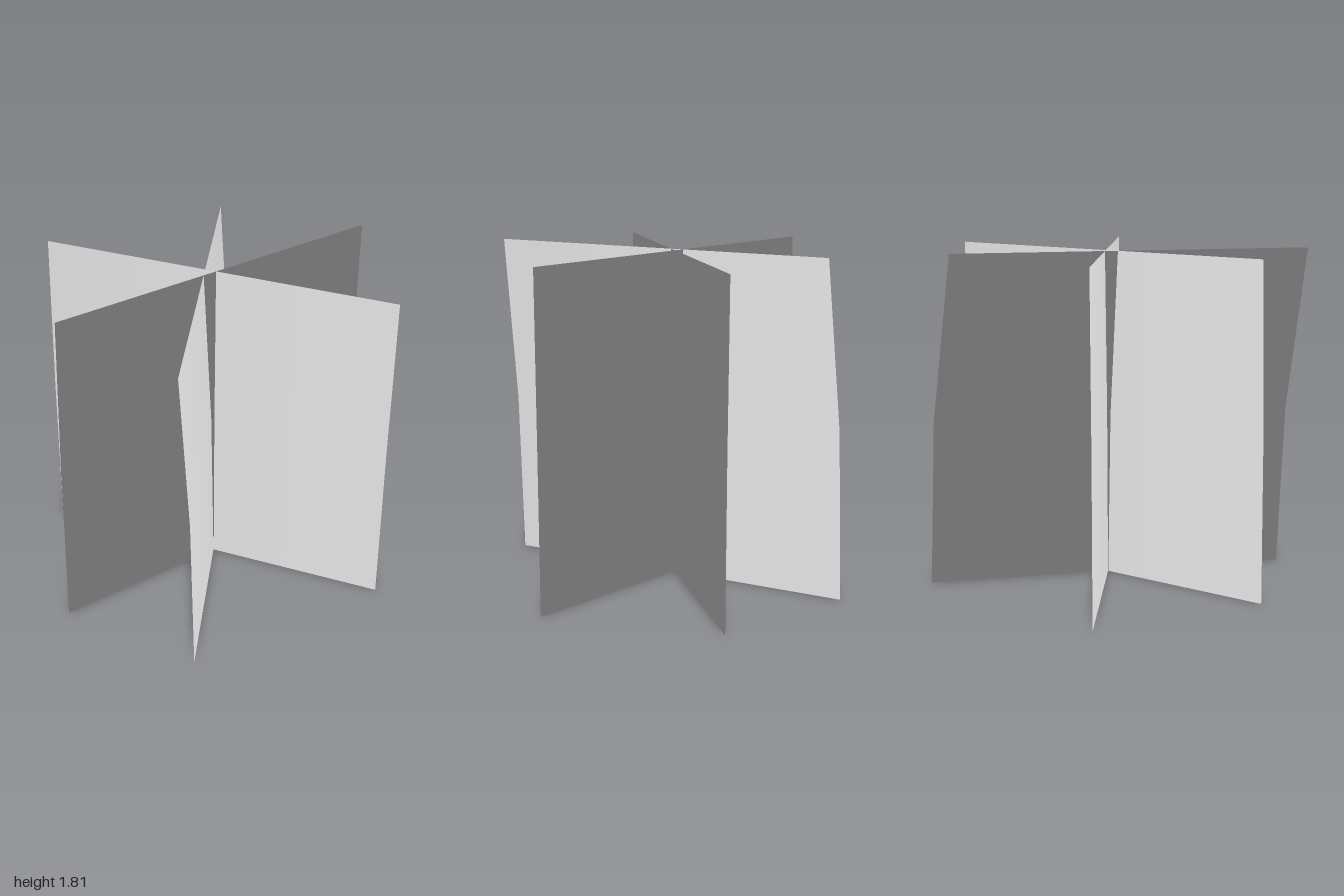
import * as THREE from 'three';

const HEIGHT = 1.81;

// One upright card: straight from end a to end b at the base,
// drifting by "shift" towards the top (a quarter of it by half height).
function makeCard(name, a, b, shift, material) {
  const geometry = new THREE.PlaneGeometry(1, 1, 2, 2);
  const pos = geometry.attributes.position;
  const normal = geometry.attributes.normal;
  const n = new THREE.Vector3();
  for (let i = 0; i < pos.count; i++) {
    const t = pos.getX(i) + 0.5;
    const h = pos.getY(i) + 0.5;
    const bend = h * h;
    pos.setXYZ(
      i,
      a[0] + (b[0] - a[0]) * t + shift[0] * bend,
      h * HEIGHT,
      a[1] + (b[1] - a[1]) * t + shift[1] * bend
    );
    // soft foliage-style normals: upward, spreading slightly outward
    const spread = 0.15 * (t - 0.5);
    n.set((b[0] - a[0]) * spread, 1, (b[1] - a[1]) * spread).normalize();
    normal.setXYZ(i, n.x, n.y, n.z);
  }
  const card = new THREE.Mesh(geometry, material);
  card.name = name;
  return card;
}

export function createModel() {
  const model = new THREE.Group();
  model.name = 'crossedCards';
  const grey = new THREE.MeshStandardMaterial({ color: 0xcccccc, side: THREE.DoubleSide });
  grey.name = 'lightGrey';

  // three cards crossing near the centre: base ends as [x, z], then top drift
  model.add(
    makeCard('wideCard', [-1, 0.005], [0.985, -0.148], [0.01, -0.01], grey),
    makeCard('leaningCard', [-0.36, -1], [0.35, 0.86], [0, 0.14], grey),
    makeCard('diagonalCard', [-0.457, 0.815], [0.45, -0.962], [0.012, -0.023], grey)
  );
  return model;
}
